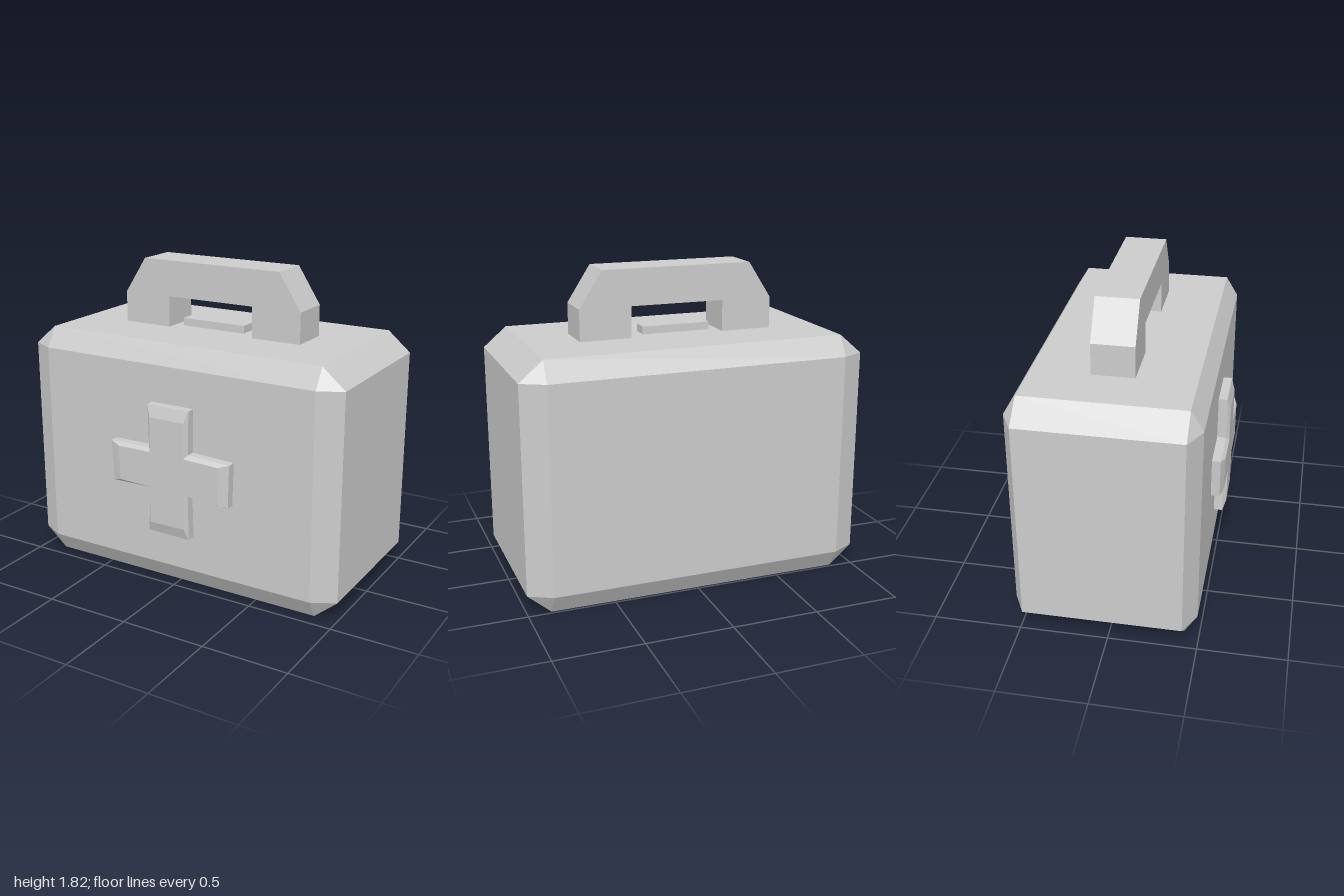
import * as THREE from 'three';
import { ConvexGeometry } from 'three/addons/geometries/ConvexGeometry.js';

const material = new THREE.MeshStandardMaterial({ color: 0xcccccc, flatShading: true });

function part(name, geometry, x = 0, y = 0, z = 0) {
  const mesh = new THREE.Mesh(geometry, material);
  mesh.name = name;
  mesh.position.set(x, y, z);
  return mesh;
}

// Box with every edge chamfered by its own inset per axis, centred on the origin
function chamferedBox(hx, hy, hz, cx, cy, cz) {
  const points = [];
  for (const sx of [-1, 1]) for (const sy of [-1, 1]) for (const sz of [-1, 1]) {
    points.push(
      new THREE.Vector3(sx * hx, sy * (hy - cy), sz * (hz - cz)),
      new THREE.Vector3(sx * (hx - cx), sy * hy, sz * (hz - cz)),
      new THREE.Vector3(sx * (hx - cx), sy * (hy - cy), sz * hz));
  }
  return new ConvexGeometry(points);
}

// Skin a stack of [outline, z] rings (counter-clockwise) and cap the front one
function loftForward(rings) {
  const n = rings[0][0].length;
  const positions = [];
  const index = [];
  for (const [outline, z] of rings) for (const [x, y] of outline) positions.push(x, y, z);
  for (let r = 0; r < rings.length - 1; r++) for (let i = 0; i < n; i++) {
    const a = r * n + i, b = r * n + (i + 1) % n;
    index.push(a, b, b + n, a, b + n, a + n);
  }
  const last = (rings.length - 1) * n;
  const front = rings[rings.length - 1][0].map(([x, y]) => new THREE.Vector2(x, y));
  for (const face of THREE.ShapeUtils.triangulateShape(front, [])) {
    index.push(...face.map((i) => i + last));
  }
  const geometry = new THREE.BufferGeometry();
  geometry.setAttribute('position', new THREE.Float32BufferAttribute(positions, 3));
  geometry.setIndex(index);
  const flat = geometry.toNonIndexed();
  flat.computeVertexNormals();
  return flat;
}

export function createModel() {
  const group = new THREE.Group();
  group.name = 'firstAidCase';

  // Case body
  group.add(part('caseBody', chamferedBox(1, 0.7125, 0.52, 0.135, 0.115, 0.07), 0, 0.7125, -0.035));

  // Carrying handle: angled arch
  const arch = new THREE.Shape([
    [0.575, 1.425], [0.575, 1.605], [0.44, 1.815], [-0.44, 1.815], [-0.575, 1.605], [-0.575, 1.425],
    [-0.275, 1.425], [-0.275, 1.605], [0.275, 1.605], [0.275, 1.425],
  ].map(([x, y]) => new THREE.Vector2(x, y)));
  group.add(part('handle', new THREE.ExtrudeGeometry(arch, { depth: 0.24, bevelEnabled: false }), 0, 0, -0.155));

  // Small latch under the handle
  group.add(part('latch', new THREE.BoxGeometry(0.405, 0.045, 0.1), -0.018, 1.4475, -0.035));

  // Raised cross, slightly uneven, with long bevels on the arm ends
  const outer = [
    [0.134, 1.095], [-0.134, 1.095], [-0.128, 0.84], [-0.388, 0.838], [-0.376, 0.597], [-0.122, 0.603],
    [-0.14, 0.335], [0.13, 0.33], [0.124, 0.597], [0.383, 0.578], [0.39, 0.83], [0.13, 0.842],
  ];
  const inner = [
    [0.112, 1.027], [-0.11, 1.027], [-0.112, 0.822], [-0.325, 0.82], [-0.317, 0.617], [-0.115, 0.612],
    [-0.116, 0.396], [0.11, 0.396], [0.11, 0.605], [0.325, 0.594], [0.332, 0.812], [0.11, 0.82],
  ];
  group.add(part('cross', loftForward([[outer, 0.48], [outer, 0.535], [inner, 0.555]])));

  return group;
}
